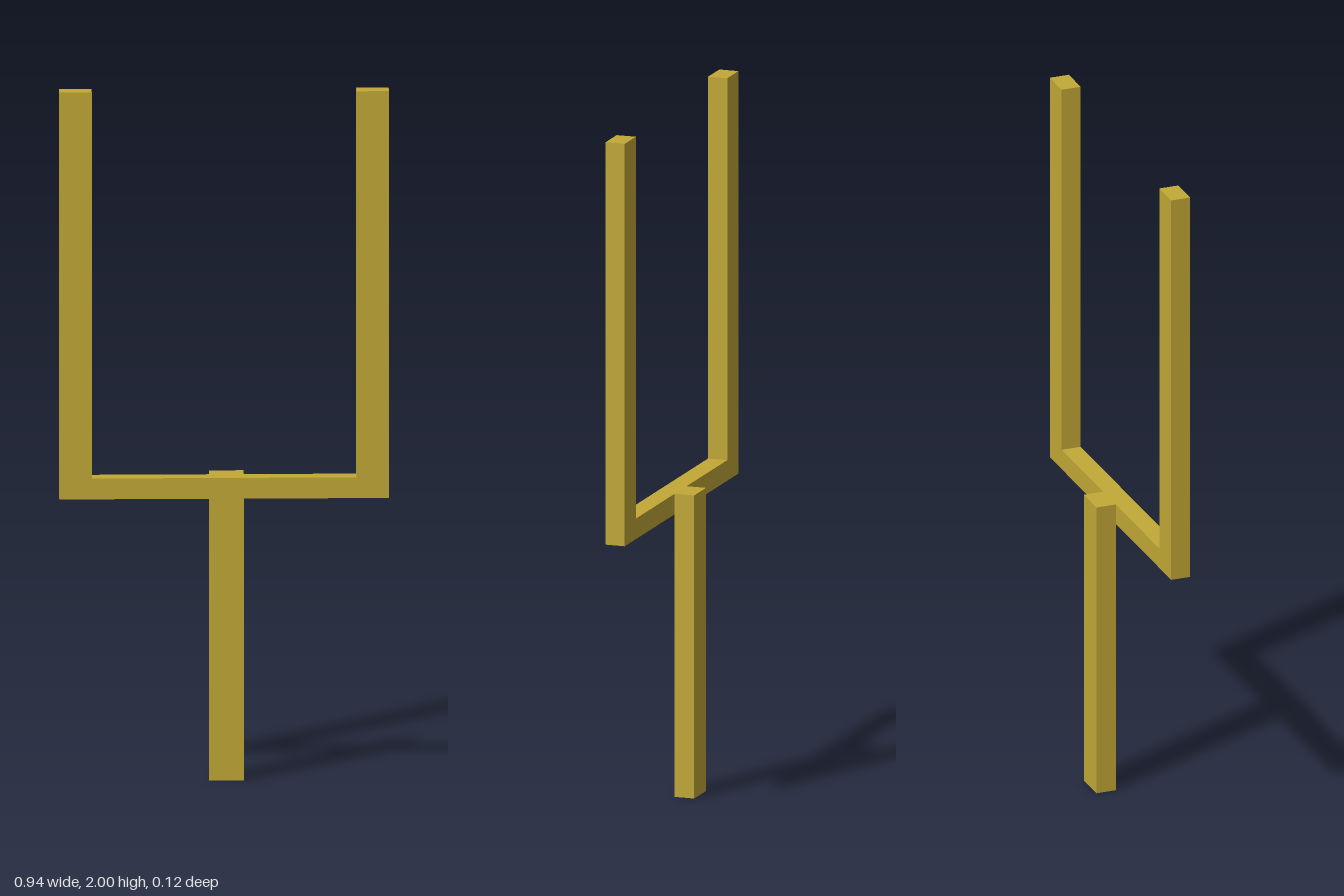
import * as THREE from 'three';

const material = new THREE.MeshStandardMaterial({ color: 0xc2a936 });

export function createModel() {
  const group = new THREE.Group();
  group.name = 'goalPost';

  // U-shaped frame: crossbar and both uprights in one piece
  const outer = 0.468, inner = 0.376, bottom = 0.825, barTop = 0.885, top = 2;
  const outline = new THREE.Shape([
    [-outer, bottom], [outer, bottom], [outer, top], [inner, top],
    [inner, barTop], [-inner, barTop], [-inner, top], [-outer, top],
  ].map(([x, y]) => new THREE.Vector2(x, y)));
  const frame = new THREE.Mesh(
    new THREE.ExtrudeGeometry(outline, { depth: 0.058, bevelEnabled: false }), material);
  frame.name = 'crossbarAndUprights';
  group.add(frame);

  // Support post, slightly off centre, standing behind the crossbar
  const post = new THREE.Mesh(new THREE.BoxGeometry(0.098, barTop, 0.059), material);
  post.name = 'supportPost';
  post.position.set(0.008, barTop / 2, -0.0295);
  group.add(post);

  return group;
}
